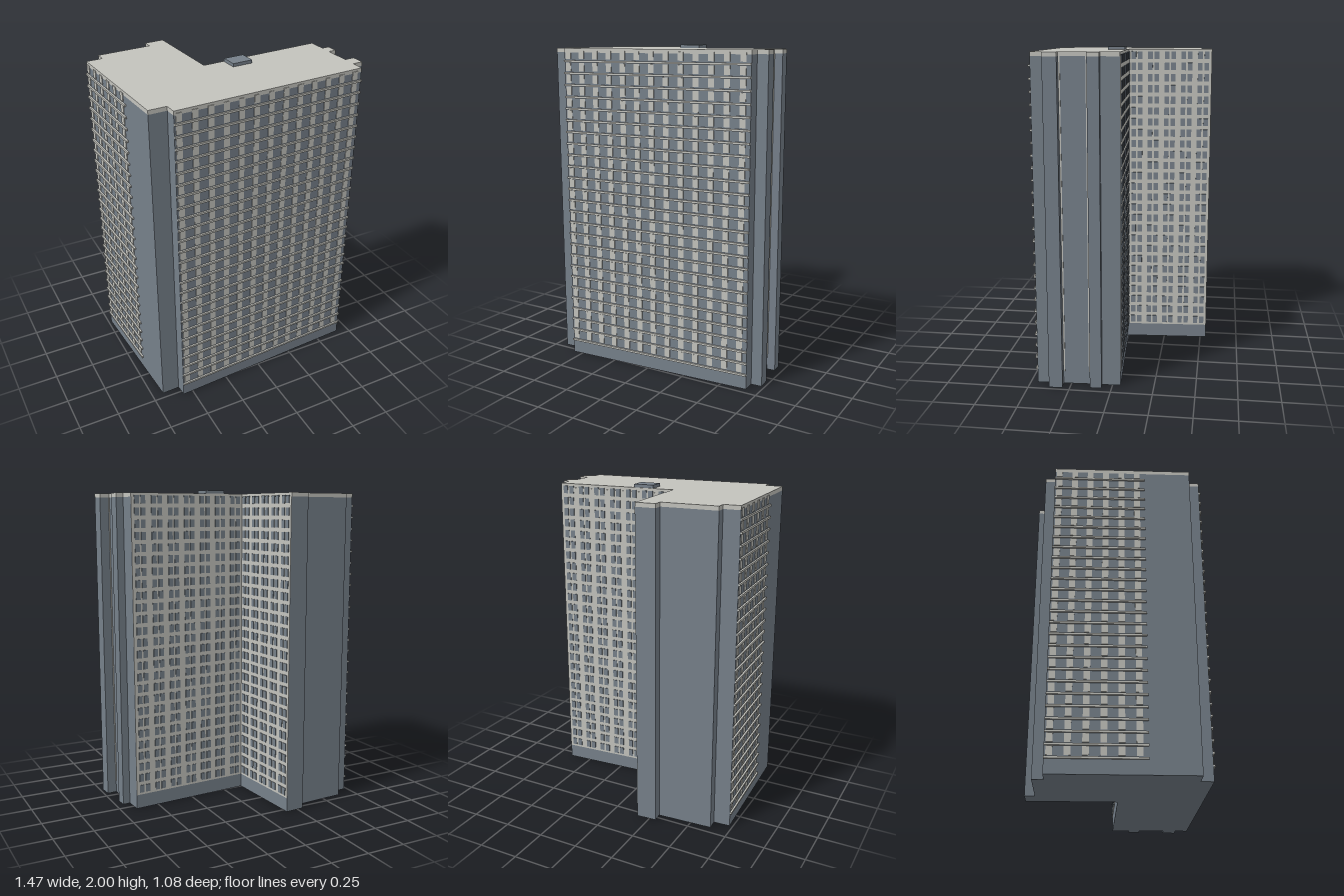
import * as THREE from 'three';
import { mergeGeometries } from 'three/addons/utils/BufferGeometryUtils.js';

const FLOORS = 26, STOREY = 0.0725, BASE = 0.09, CAP = 1.955, TOP = 1.98;

const grey = new THREE.MeshStandardMaterial({ color: 0x76808a });
grey.name = 'greyWall';
const beige = new THREE.MeshStandardMaterial({ color: 0xc3c3bd });
beige.name = 'beigeConcrete';

// Footprint corners as [x, z]
const outline = [
  [-0.73, -0.378], [-0.628, -0.384], [-0.632, -0.449], [-0.288, -0.47], [-0.292, -0.53], [-0.169, -0.538],
  [-0.135, 0], [0.65, -0.049], [0.656, 0.063], [0.702, 0.06], [0.707, 0.13], [0.656, 0.134],
  [0.664, 0.298], [0.725, 0.293], [0.731, 0.375], [0.664, 0.379], [0.668, 0.457],
  [-0.565, 0.531], [-0.569, 0.458], [-0.68, 0.463],
];

function slab(name, y0, y1, material) {
  const shape = new THREE.Shape(outline.map(([x, z]) => new THREE.Vector2(x, -z)));
  const geo = new THREE.ExtrudeGeometry(shape, { depth: y1 - y0, bevelEnabled: false });
  geo.rotateX(-Math.PI / 2).translate(0, y0, 0);
  const mesh = new THREE.Mesh(geo, material);
  mesh.name = name;
  return mesh;
}

// Box standing on the wall plane z = 0, centred at x, y
function plate(x, y, w, h, d) {
  return new THREE.BoxGeometry(w, h, d).translate(x, y, d / 2);
}

function merged(name, boxes, material) {
  const mesh = new THREE.Mesh(mergeGeometries(boxes), material);
  mesh.name = name;
  return mesh;
}

// Group whose x axis runs along the wall from a to b, z pointing outward
function wallFrame(name, a, b) {
  const group = new THREE.Group();
  group.name = name;
  group.position.set(a[0], 0, a[1]);
  group.rotation.y = Math.atan2(a[1] - b[1], b[0] - a[0]);
  group.userData.length = Math.hypot(b[0] - a[0], b[1] - a[1]);
  return group;
}

// Grey wall with beige panels and projecting floor ledges
function ledgeFacade(name, a, b, columns) {
  const wall = wallFrame(name, a, b), L = wall.userData.length;
  const panels = [], ledges = [];
  for (let f = 0; f < FLOORS; f++) {
    const y = BASE + f * STOREY;
    ledges.push(plate(L / 2, y, L, 0.012, 0.011));
    for (let c = 0; c < columns; c++) {
      panels.push(plate(0.028 + c * 0.0966, y + 0.038, 0.036, 0.05, 0.004));
    }
  }
  wall.add(merged('panels', panels, beige), merged('floorLedges', ledges, beige));
  return wall;
}

// Beige wall with paired grey windows
function windowFacade(name, a, b, columns) {
  const wall = wallFrame(name, a, b), L = wall.userData.length;
  const windows = [], pitch = L / columns;
  for (let f = 0; f < FLOORS; f++) {
    const y = BASE + f * STOREY + 0.038;
    for (let c = 0; c < columns; c++) {
      const x = (c + 0.5) * pitch;
      windows.push(plate(x - 0.021, y, 0.03, 0.048, 0.007));
      windows.push(plate(x + 0.021, y, 0.03, 0.048, 0.007));
    }
  }
  const skin = merged('wallSkin', [plate(L / 2, (BASE + CAP) / 2, L, CAP - BASE, 0.003)], beige);
  wall.add(skin, merged('windows', windows, grey));
  return wall;
}

export function createModel() {
  const model = new THREE.Group();
  model.name = 'towerBlock';

  // Main mass and roof slab
  model.add(slab('walls', 0, CAP, grey), slab('roof', CAP, TOP, beige));

  // Facades
  model.add(ledgeFacade('frontFacade', outline[17], outline[16], 13));
  model.add(ledgeFacade('sideFacade', outline[0], [-0.697, 0.18], 6));
  model.add(windowFacade('innerBackFacade', outline[7], outline[6], 7));
  model.add(windowFacade('innerSideFacade', outline[6], outline[5], 5));

  // Slim strips at the ends of the recess on the end wall
  const recess = wallFrame('endRecess', outline[12], outline[11]);
  const L = recess.userData.length;
  recess.add(merged('recessStrips',
    [0.006, L - 0.006].map((x) => plate(x, CAP / 2 + 0.04, 0.008, CAP - 0.08, 0.004)), beige));
  model.add(recess);

  // Rooftop hut
  const hut = new THREE.Mesh(new THREE.BoxGeometry(0.13, 0.03, 0.105), grey);
  hut.name = 'rooftopHut';
  hut.position.set(0.068, 1.985, 0.047);
  hut.rotation.y = 0.06;
  model.add(hut);

  return model;
}
